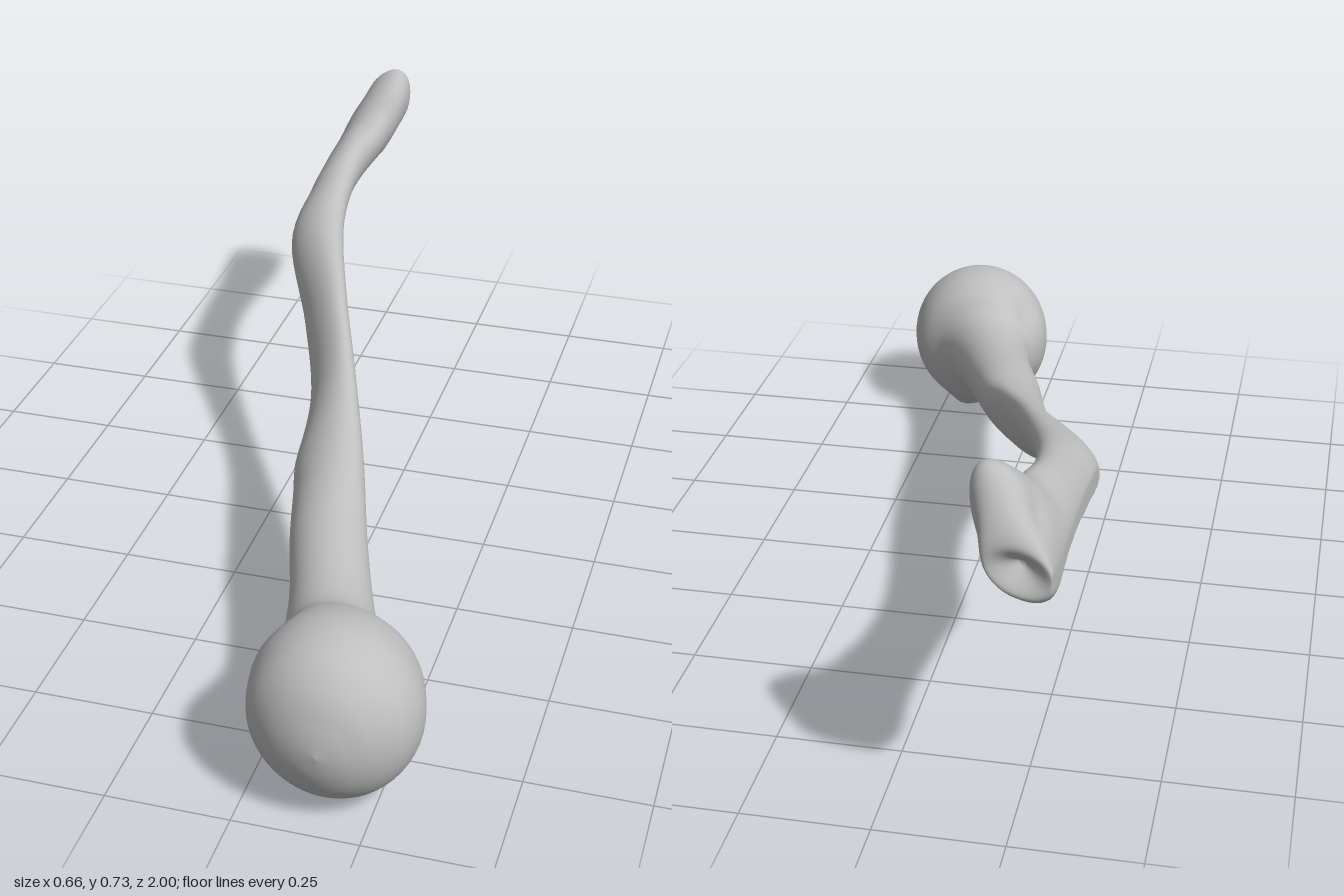
import * as THREE from 'three';

// Cross-sections from the elbow end to the ball: z, xMin, xMax, yMin, yMax, skew
const SECTIONS = [
  [-0.975, -0.275, -0.265, 0.57, 0.58, 0.3],
  [-1.0, -0.325, -0.21, 0.52, 0.615, 0.3],
  [-0.97, -0.328, -0.19, 0.495, 0.68, 0.5],
  [-0.92, -0.328, -0.168, 0.475, 0.73, 0.6],
  [-0.86, -0.328, -0.175, 0.485, 0.7, 0.6],
  [-0.8, -0.328, -0.198, 0.493, 0.648, 0.5],
  [-0.7, -0.328, -0.22, 0.485, 0.62, 0.4],
  [-0.58, -0.33, -0.222, 0.47, 0.59, 0.4],
  [-0.42, -0.322, -0.195, 0.435, 0.555, 0.4],
  [-0.2, -0.222, -0.122, 0.362, 0.5, 0.5],
  [0.0, -0.147, -0.045, 0.28, 0.435, 0.5],
  [0.2, -0.117, 0.03, 0.208, 0.365, 0.35],
  [0.4, -0.07, 0.095, 0.165, 0.32, 0.1],
  [0.56, -0.02, 0.153, 0.13, 0.296, 0],
  [0.65, 0.0, 0.195, 0.1, 0.295, 0],
  [0.7, 0.008, 0.235, 0.08, 0.31, 0],
  [0.74, -0.002, 0.295, 0.045, 0.34, 0],
  [0.8, -0.012, 0.322, 0.015, 0.362, 0],
  [0.86, -0.008, 0.33, 0.01, 0.365, 0],
  [0.92, 0.012, 0.312, 0.03, 0.345, 0],
  [0.965, 0.06, 0.27, 0.075, 0.3, 0],
  [0.99, 0.115, 0.22, 0.13, 0.24, 0],
  [1.0, 0.165, 0.17, 0.183, 0.188, 0],
];

// Soft bumps (+) and hollows (-): x, y, z, radius, amount
const SCULPT = [
  [0.2, 0.01, 0.8, 0.035, 0.018],     // lesser tubercle
  [0.12, 0.03, 0.74, 0.04, -0.014],   // groove beside it
  [0.1, 0.09, 0.64, 0.04, -0.01],
  [0.02, 0.3, 0.76, 0.04, -0.012],    // neck of the ball
  [-0.2, 0.56, -0.92, 0.04, -0.02],   // hollows of the elbow end
  [-0.3, 0.66, -0.93, 0.04, -0.012],
  [-0.27, 0.5, -0.96, 0.025, -0.012],
  [-0.24, 0.63, -0.76, 0.03, -0.008],
  [-0.12, 0.26, 0.2, 0.06, 0.006],    // ridge on the shaft
];

const catmull = (a, b, c, d, t) => 0.5 * (2 * b + (c - a) * t
  + (2 * a - 5 * b + 4 * c - d) * t * t + (3 * b - a - 3 * c + d) * t * t * t);

// Smoothly blended section at u, counted in section indices
function sectionAt(u) {
  const last = SECTIONS.length - 1;
  const i = Math.min(Math.floor(u), last - 1);
  const row = (k) => SECTIONS[Math.max(0, Math.min(last, k))];
  return row(i).map((_, k) =>
    catmull(row(i - 1)[k], row(i)[k], row(i + 1)[k], row(i + 2)[k], u - i));
}

function boneGeometry(steps = 8, sides = 64) {
  const positions = [], indices = [];
  const rings = (SECTIONS.length - 1) * steps;
  for (let r = 0; r <= rings; r++) {
    const [z, x0, x1, y0, y1, skew] = sectionAt(r / steps);
    const cx = (x0 + x1) / 2, cy = (y0 + y1) / 2;
    for (let s = 0; s < sides; s++) {
      const t = (s / sides) * Math.PI * 2;
      let dx = (x1 - x0) / 2 * Math.cos(t);
      let dy = (y1 - y0) / 2 * Math.sin(t + skew);
      const len = Math.hypot(dx, dy) || 1;
      let push = 0;
      for (const [bx, by, bz, rad, amount] of SCULPT) {
        const d2 = (cx + dx - bx) ** 2 + (cy + dy - by) ** 2 + (z - bz) ** 2;
        push += amount * Math.exp(-d2 / (rad * rad));
      }
      const k = 1 + push * Math.min(1, len / 0.05) / Math.max(len, 0.05);
      dx *= k;
      dy *= k;
      // The outer side of the elbow end is trimmed flat
      positions.push(Math.max(cx + dx, -0.326), Math.max(cy + dy, 0), Math.max(-1, Math.min(1, z)));
    }
  }
  for (let r = 0; r < rings; r++) {
    for (let s = 0; s < sides; s++) {
      const n = (s + 1) % sides;
      const a = r * sides + s, b = r * sides + n;
      const c = a + sides, d = b + sides;
      indices.push(a, b, c, b, d, c);
    }
  }
  // Close both tips
  const tip = rings * sides;
  for (let s = 1; s < sides - 1; s++) {
    indices.push(0, s + 1, s, tip, tip + s, tip + s + 1);
  }
  const geometry = new THREE.BufferGeometry();
  geometry.setAttribute('position', new THREE.Float32BufferAttribute(positions, 3));
  geometry.setIndex(indices);
  geometry.computeVertexNormals();
  return geometry;
}

export function createModel() {
  const group = new THREE.Group();
  group.name = 'armBone';
  const boneGrey = new THREE.MeshStandardMaterial({ color: 0xbfbfbf });
  boneGrey.name = 'boneGrey';
  const bone = new THREE.Mesh(boneGeometry(), boneGrey);
  bone.name = 'bone';
  group.add(bone);
  return group;
}
